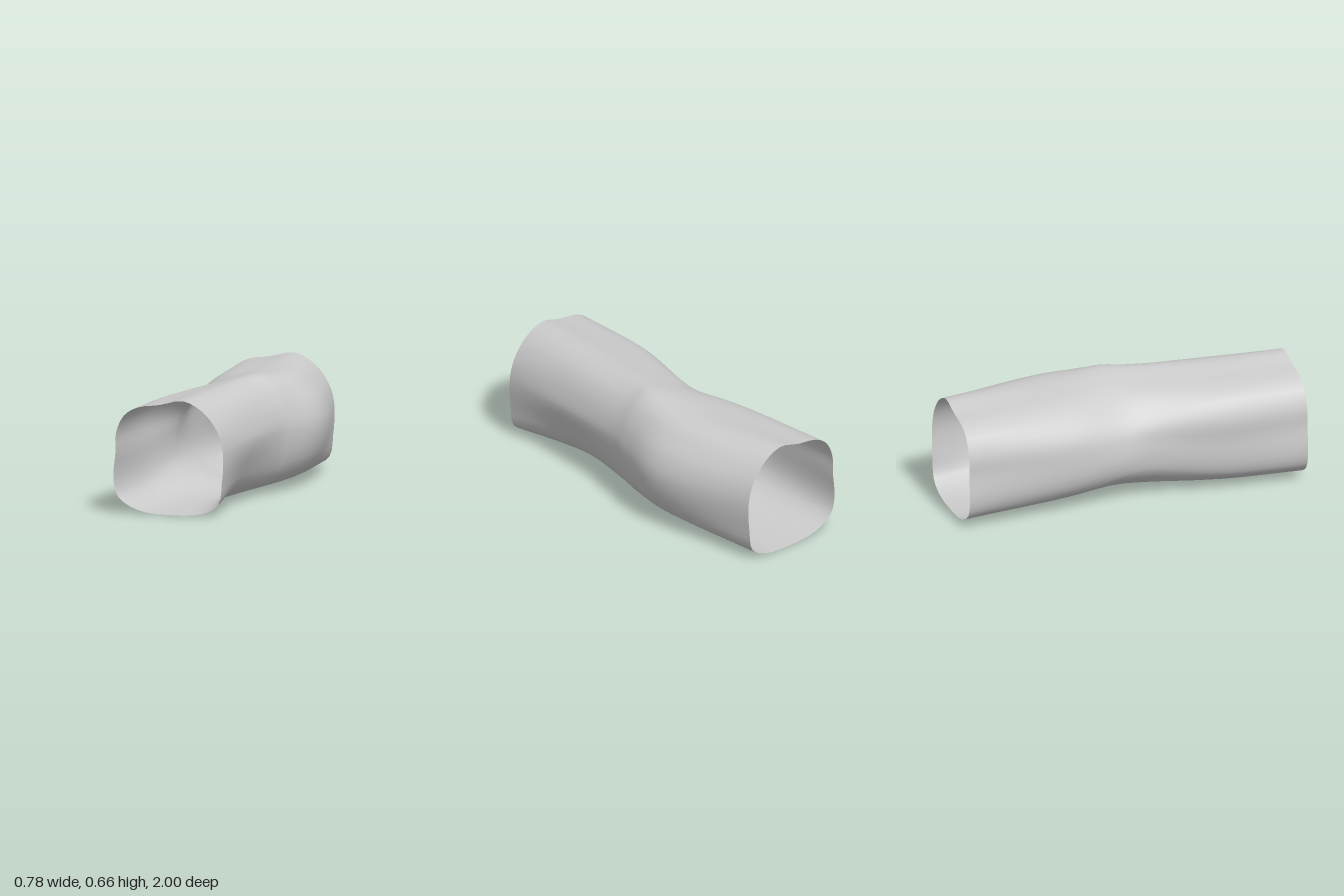
import * as THREE from 'three';

// Cross-sections as x, y pairs, counter-clockwise from the +x wall
const END = [.255,.36, .235,.46, .195,.535, .13,.605, .02,.658, -.12,.63, -.25,.61, -.33,.56, -.375,.46,
  -.378,.35, -.39,.2, -.36,.1, -.24,.03, -.05,.012, .13,.025, .225,.08, .247,.2];
const BULGE = [.395,.36, .36,.48, .3,.56, .22,.63, .1,.652, -.05,.64, -.19,.61, -.29,.545, -.355,.45,
  -.37,.34, -.36,.2, -.3,.11, -.16,.045, 0,.02, .17,.035, .295,.095, .365,.2];
const CREST = [.335,.36, .315,.46, .28,.54, .22,.62, .13,.672, -.02,.65, -.14,.605, -.24,.535, -.308,.45,
  -.335,.36, -.34,.26, -.31,.17, -.2,.085, -.05,.035, .1,.03, .23,.075, .31,.19];
const WAIST = [.3,.37, .285,.46, .25,.54, .19,.615, .09,.668, -.04,.645, -.17,.605, -.26,.525, -.31,.45,
  -.325,.37, -.33,.28, -.31,.18, -.21,.08, -.05,.03, .09,.03, .205,.085, .27,.2];
const FRONT = [.272,.37, .255,.46, .215,.55, .15,.62, .04,.658, -.1,.635, -.24,.608, -.32,.56, -.37,.46,
  -.368,.34, -.365,.2, -.33,.11, -.22,.04, -.06,.02, .07,.035, .17,.11, .225,.22];

const STATIONS = [[-1, END], [-.35, BULGE], [-.05, CREST], [.1, WAIST], [.5, FRONT], [1, END]];
const AROUND = 51, ALONG = 32;

function createTunnelGeometry() {
  // Smooth closed ring at every station
  const rings = STATIONS.map(([z, xy]) => {
    const pts = [];
    for (let i = 0; i < xy.length; i += 2) pts.push(new THREE.Vector3(xy[i], xy[i + 1], z));
    return new THREE.CatmullRomCurve3(pts, true).getPoints(AROUND);
  });
  // Smooth lengthwise line through matching ring points
  const lines = [];
  for (let j = 0; j < AROUND; j++) {
    lines.push(new THREE.CatmullRomCurve3(rings.map(r => r[j])).getPoints(ALONG));
  }
  const positions = [], index = [];
  for (let i = 0; i <= ALONG; i++) {
    for (let j = 0; j < AROUND; j++) {
      positions.push(...lines[j][i].toArray());
      if (i === ALONG) continue;
      const a = i * AROUND + j, b = i * AROUND + (j + 1) % AROUND;
      index.push(a, b, a + AROUND, b, b + AROUND, a + AROUND);
    }
  }
  const geometry = new THREE.BufferGeometry();
  geometry.setAttribute('position', new THREE.Float32BufferAttribute(positions, 3));
  geometry.setIndex(index);
  geometry.computeVertexNormals();
  return geometry;
}

export function createModel() {
  const group = new THREE.Group();
  group.name = 'tunnelSection';
  // Thin open-ended shell, seen from both sides
  const material = new THREE.MeshStandardMaterial({ color: 0xcccccc, side: THREE.DoubleSide });
  const shell = new THREE.Mesh(createTunnelGeometry(), material);
  shell.name = 'tunnelShell';
  group.add(shell);
  return group;
}
